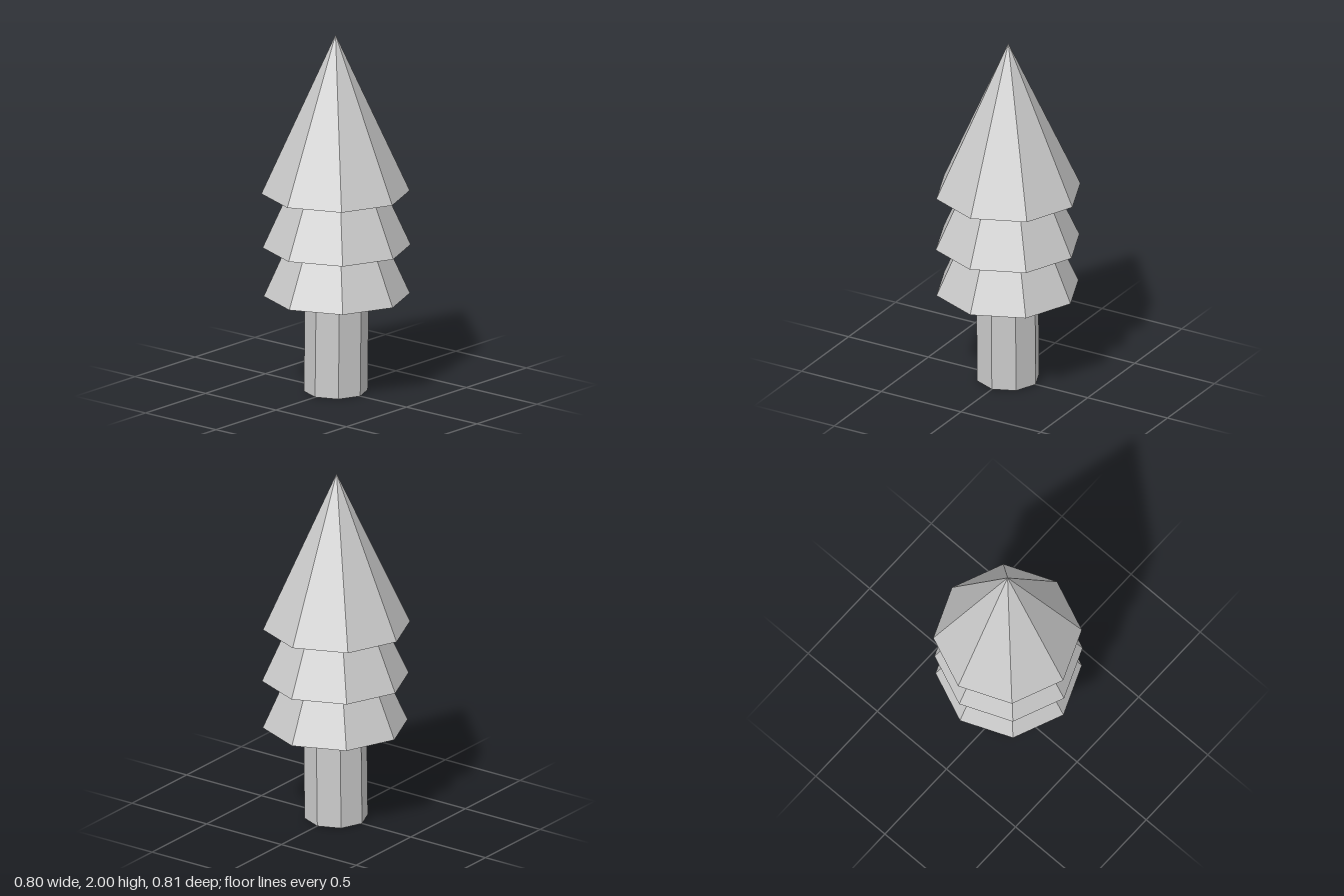
import * as THREE from 'three';

export function createModel() {
  const tree = new THREE.Group();
  tree.name = 'pineTree';
  const material = new THREE.MeshStandardMaterial({ color: 0xcccccc, flatShading: true });

  // Octagonal trunk, leaning very slightly forward
  const trunkHeight = 0.54;
  const trunkGeometry = new THREE.CylinderGeometry(0.173, 0.173, trunkHeight, 8);
  trunkGeometry.translate(0, trunkHeight / 2, 0);
  const position = trunkGeometry.attributes.position;
  for (let i = 0; i < position.count; i++) {
    position.setZ(i, position.getZ(i) - 0.001 + 0.013 * position.getY(i));
  }
  trunkGeometry.computeVertexNormals();
  const trunk = new THREE.Mesh(trunkGeometry, material);
  trunk.name = 'trunk';
  tree.add(trunk);

  // Three nested cones of foliage, each slightly off the axis
  const tiers = [
    { name: 'lowerFoliage', base: 0.54, radius: 0.396, z: 0.006 },
    { name: 'middleFoliage', base: 0.813, radius: 0.401, z: 0.005 },
    { name: 'topFoliage', base: 1.115, radius: 0.402, z: -0.003 },
  ];
  const tierHeight = 0.885;
  for (const { name, base, radius, z } of tiers) {
    const tier = new THREE.Mesh(new THREE.ConeGeometry(radius, tierHeight, 8), material);
    tier.name = name;
    tier.position.set(0, base + tierHeight / 2, z);
    tree.add(tier);
  }
  return tree;
}
